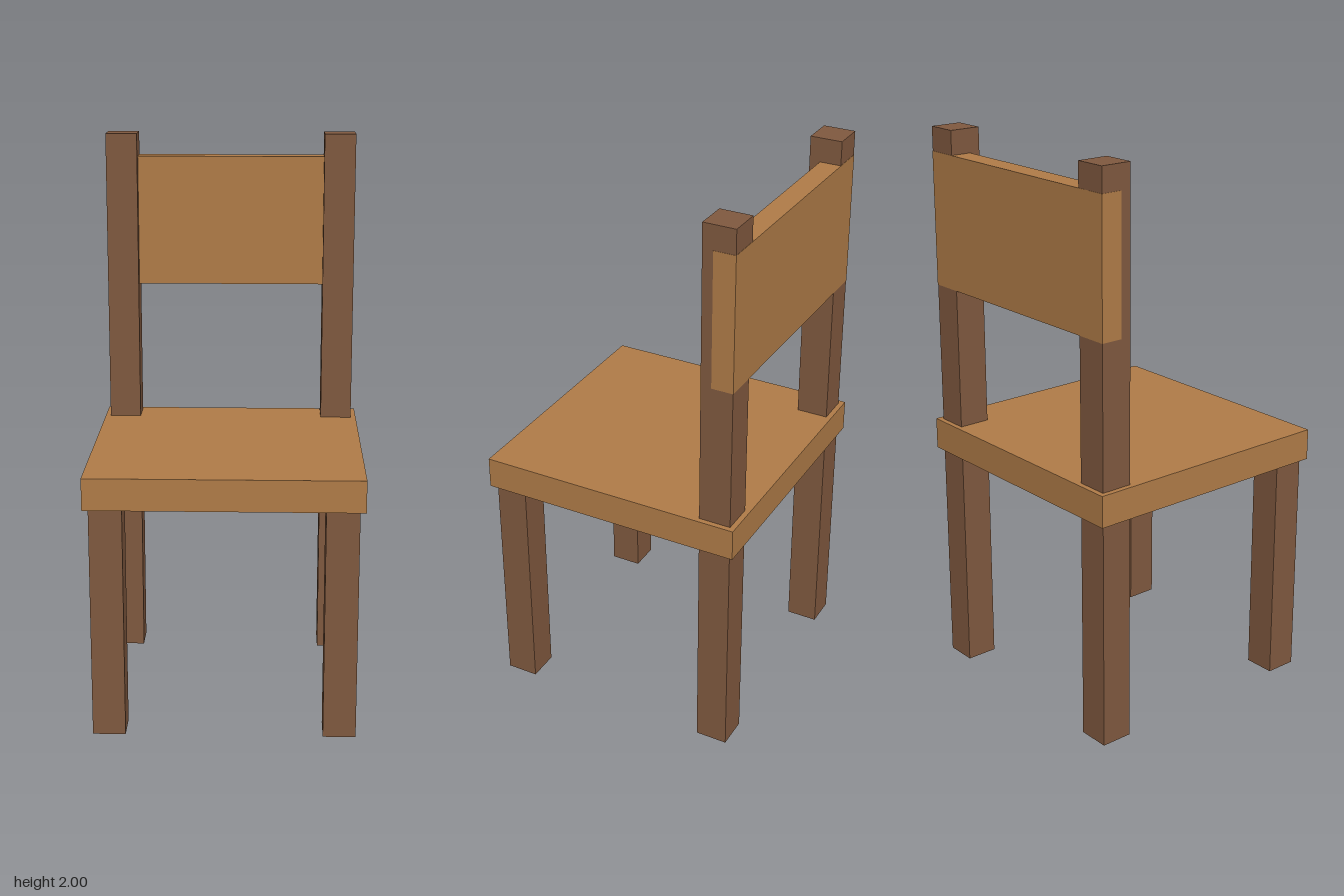
import * as THREE from 'three';

export function createModel() {
  const model = new THREE.Group();
  model.name = 'chair';

  const lightWood = new THREE.MeshStandardMaterial({ color: 0xb07c48 });
  lightWood.name = 'light wood';
  const darkWood = new THREE.MeshStandardMaterial({ color: 0x80593f });
  darkWood.name = 'dark wood';

  // Box placed by its centre in x and z and by its bottom in y
  function addBox(name, material, [w, h, d], [x, bottom, z]) {
    const mesh = new THREE.Mesh(new THREE.BoxGeometry(w, h, d), material);
    mesh.name = name;
    mesh.position.set(x, bottom + h / 2, z);
    model.add(mesh);
  }

  const legSize = 0.114;
  const legOffset = 0.4;
  const seatBottom = 0.824;
  const seatHeight = 0.112;
  const seatTop = seatBottom + seatHeight;

  // Seat board
  addBox('seat', lightWood, [0.952, seatHeight, 0.952], [0, seatBottom, 0]);

  // Front legs, back legs, and the posts that continue them above the seat
  for (const [side, s] of [['left', 1], ['right', -1]]) {
    const x = s * legOffset;
    addBox(`${side}FrontLeg`, darkWood, [legSize, seatBottom, legSize], [x, 0, legOffset]);
    addBox(`${side}BackLeg`, darkWood, [legSize, seatBottom, legSize], [x, 0, -legOffset]);
    addBox(`${side}BackPost`, darkWood, [legSize, 2 - seatTop, legSize], [x, seatTop, -legOffset]);
  }

  // Backrest panel, let into the posts and a hair proud of their outer faces
  const proud = 0.001;
  const back = -legOffset - legSize / 2 - proud;
  const depth = 0.076 + proud;
  addBox('backrest', lightWood,
    [2 * legOffset + legSize + 2 * proud, 0.474, depth], [0, 1.441, back + depth / 2]);

  return model;
}
